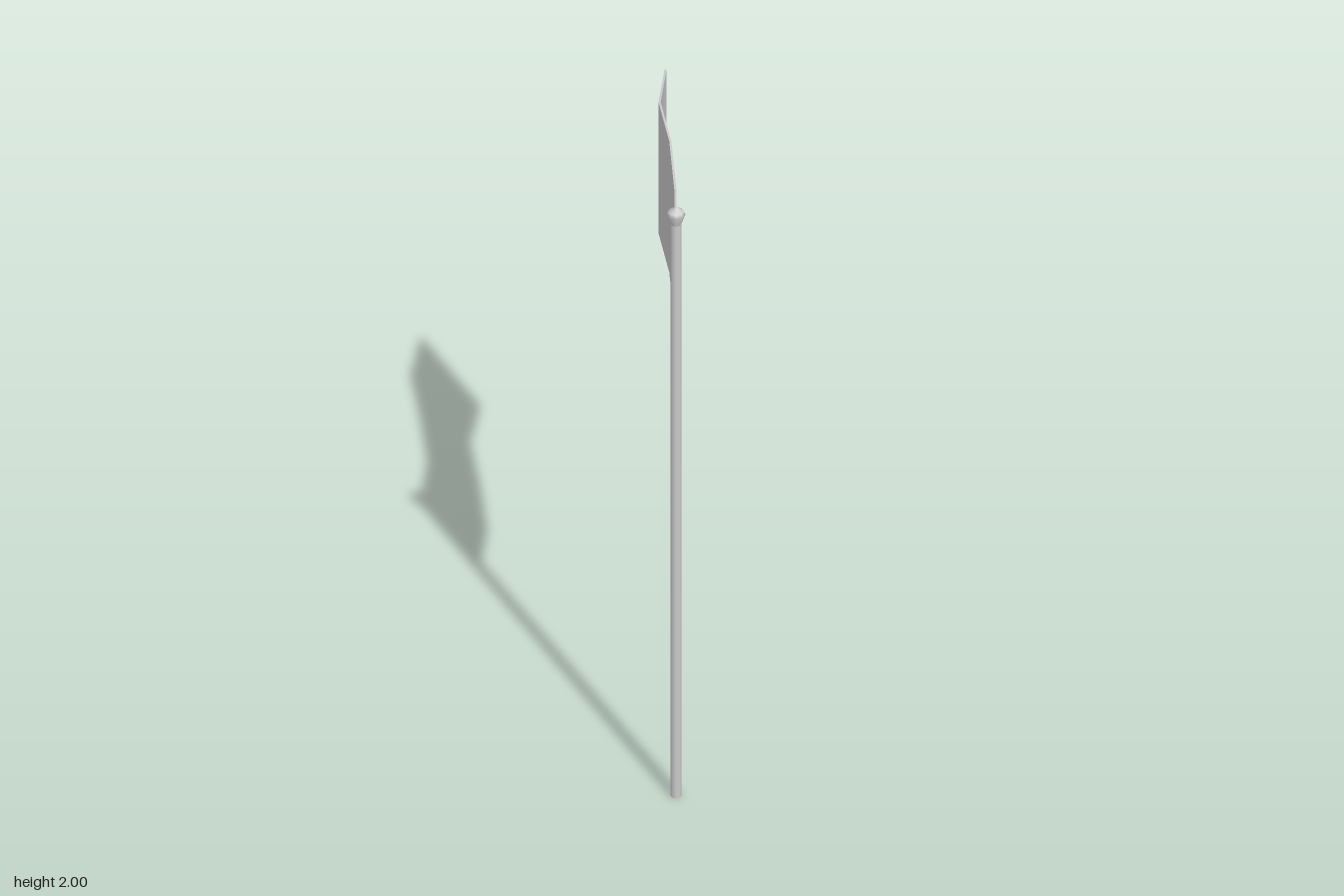
import * as THREE from 'three';

const POLE_Z = 0.419;

export function createModel() {
  const model = new THREE.Group();
  const grey = new THREE.MeshStandardMaterial({ color: 0xcccccc });
  const add = (name, geometry, z = 0) => {
    const mesh = new THREE.Mesh(geometry, grey);
    mesh.name = name;
    mesh.position.z = z;
    model.add(mesh);
  };

  // Eight-sided pole standing on the ground
  const pole = new THREE.CylinderGeometry(0.0155, 0.0155, 1.95, 8);
  pole.translate(0, 0.975, 0);
  add('pole', pole, POLE_Z);

  // Faceted knob: flares out from the pole, then closes to a point
  const profile = [[0.0155, 1.943], [0.0265, 1.974], [0.022, 1.985], [0, 2]]
    .map(([r, y]) => new THREE.Vector2(r, y));
  add('finial', new THREE.LatheGeometry(profile, 8), POLE_Z);

  // Thin cloth panel, bent along its length: [z, sideways offset, top height]
  const stations = [
    [-0.447, 0, 1.878],
    [-0.237, -0.024, 1.91],
    [-0.025, -0.001, 1.921],
    [0.187, 0.006, 1.9],
    [0.397, 0, 1.951],
  ];
  const height = 0.445;
  const flag = new THREE.BoxGeometry(0.006, height, 4, 1, 1, 4);
  const p = flag.attributes.position;
  for (let i = 0; i < p.count; i++) {
    const [z, x, top] = stations[Math.round(p.getZ(i) + 2)];
    p.setXYZ(i, p.getX(i) + x, p.getY(i) + top - height / 2, z);
  }
  flag.computeVertexNormals();
  add('flag', flag);

  return model;
}
